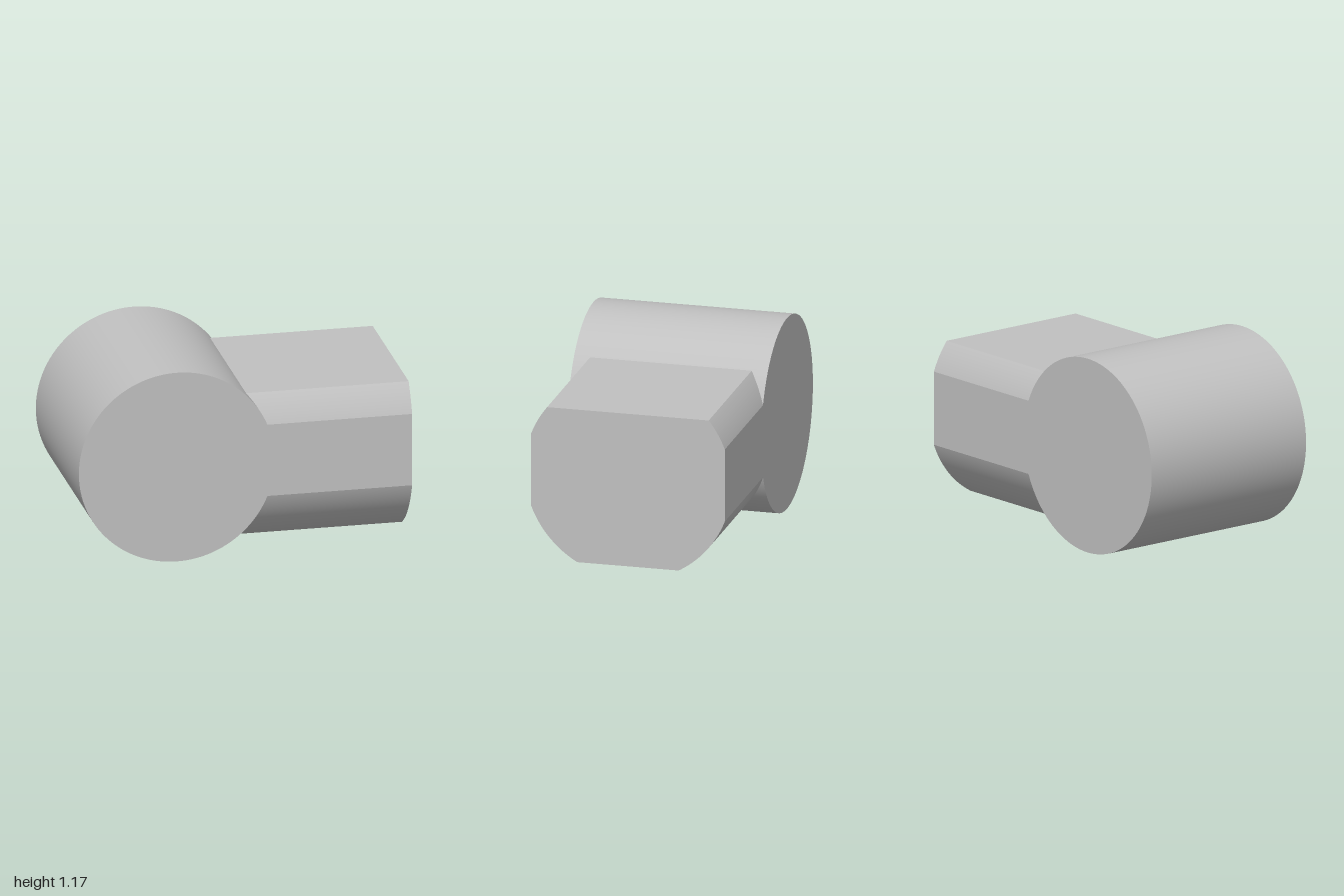
import * as THREE from 'three';
import { toCreasedNormals } from 'three/addons/utils/BufferGeometryUtils.js';

const R = 0.5875;        // barrel radius, half depth and axis height
const BARREL_X = -0.4125;
const ARC = 0.628;       // radius of the rounded corners of the arm
const TOP = 0.3925;      // arm top above the axis
const BOTTOM = -0.5475;  // arm underside below the axis

export function createModel() {
  const group = new THREE.Group();
  const grey = new THREE.MeshStandardMaterial({ color: 0xc0c0c0 });
  grey.name = 'grey';

  // Barrel lying along z
  const barrelGeometry = new THREE.CylinderGeometry(R, R, 2 * R, 128);
  barrelGeometry.rotateX(Math.PI / 2);
  const barrel = new THREE.Mesh(barrelGeometry, grey);
  barrel.name = 'barrel';
  barrel.position.set(BARREL_X, R, 0);
  group.add(barrel);

  // Arm section: a circle cut flat at the top, bottom and both sides
  const side = Math.acos(R / ARC);
  const top = Math.asin(TOP / ARC);
  const bottom = Math.asin(BOTTOM / ARC);
  const section = new THREE.Shape();
  section.absarc(0, 0, ARC, bottom, -side, false);
  section.absarc(0, 0, ARC, side, top, false);
  section.absarc(0, 0, ARC, Math.PI - top, Math.PI - side, false);
  section.absarc(0, 0, ARC, Math.PI + side, Math.PI - bottom, false);
  section.closePath();

  // Arm running along x, its inner end buried in the barrel
  const start = -0.3;
  const extruded = new THREE.ExtrudeGeometry(section, {
    depth: 1 - start, bevelEnabled: false, curveSegments: 20,
  });
  extruded.rotateY(Math.PI / 2);
  const arm = new THREE.Mesh(toCreasedNormals(extruded, 0.3), grey);
  arm.name = 'arm';
  arm.position.set(start, R, 0);
  group.add(arm);

  return group;
}
